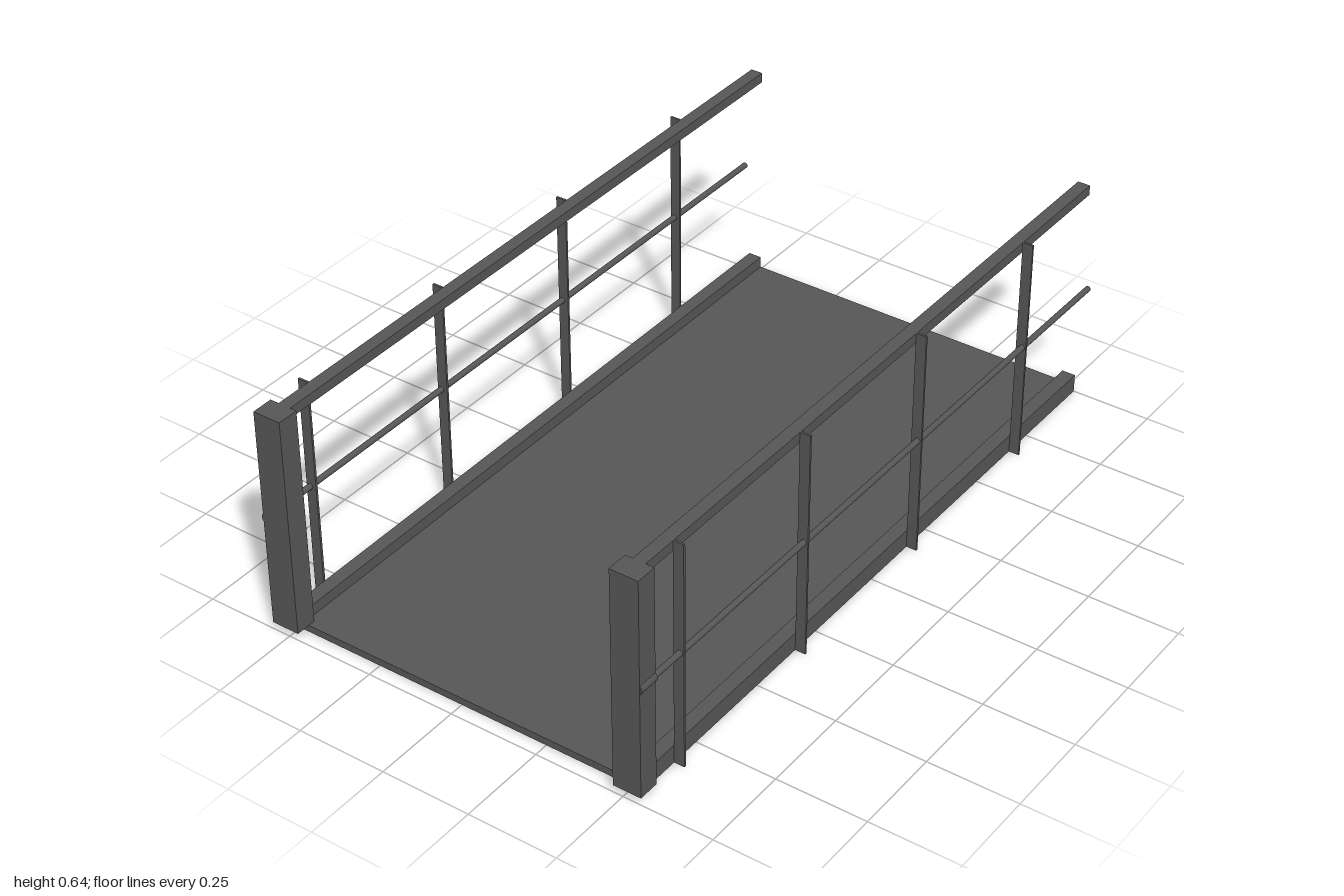
import * as THREE from 'three';

export function createModel() {
  const model = new THREE.Group();
  model.name = 'walkway';
  const steel = new THREE.MeshStandardMaterial({ color: 0x555555 });

  const add = (parent, name, geometry) => {
    const mesh = new THREE.Mesh(geometry, steel);
    mesh.name = name;
    parent.add(mesh);
    return mesh;
  };

  // Box given by its minimum and maximum corners
  const box = (parent, name, [x0, y0, z0], [x1, y1, z1]) =>
    add(parent, name, new THREE.BoxGeometry(x1 - x0, y1 - y0, z1 - z0))
      .position.set((x0 + x1) / 2, (y0 + y1) / 2, (z0 + z1) / 2);

  // Round bar running along x
  const bar = (parent, name, x0, x1, y, z, radius) => {
    const geometry = new THREE.CylinderGeometry(radius, radius, x1 - x0, 16);
    geometry.rotateZ(Math.PI / 2);
    add(parent, name, geometry).position.set((x0 + x1) / 2, y, z);
  };

  // Floor plate
  box(model, 'deck', [-0.96, 0, -0.49], [1, 0.02, 0.49]);

  for (const side of [1, -1]) {
    const railing = new THREE.Group();
    railing.name = side > 0 ? 'frontRailing' : 'backRailing';
    const z = (a, b) => (side > 0 ? [a, b] : [-b, -a]);

    // Kerb along the deck edge, bevelled under the post
    const [k0, k1] = z(0.489, 0.527);
    const profile = new THREE.Shape([
      [-0.96, 0], [1, 0], [1, 0.052], [-0.995, 0.052], [-0.995, 0.02],
    ].map(([x, y]) => new THREE.Vector2(x, y)));
    add(railing, 'kerb', new THREE.ExtrudeGeometry(profile, { depth: k1 - k0, bevelEnabled: false }))
      .position.z = k0;

    // End post
    const [p0, p1] = z(0.472, 0.551);
    box(railing, 'post', [-1, 0.02, p0], [-0.94, 0.643, p1]);

    // Top handrail
    const [h0, h1] = z(0.492, 0.527);
    box(railing, 'handrail', [-0.95, 0.614, h0], [1, 0.642, h1]);

    // Round middle rail and its sleeve on the post
    bar(railing, 'middleRail', -0.95, 1, 0.334, side * 0.545, 0.008);
    bar(railing, 'railSleeve', -0.999, -0.94, 0.336, side * 0.541, 0.016);

    // Flat uprights, edge-on to the side
    const [u0, u1] = z(0.527, 0.556);
    for (let i = 0; i < 4; i++) {
      const x = -0.835 + i * 0.5;
      box(railing, 'upright', [x - 0.003, 0, u0], [x + 0.003, 0.643, u1]);
    }
    model.add(railing);
  }
  return model;
}
